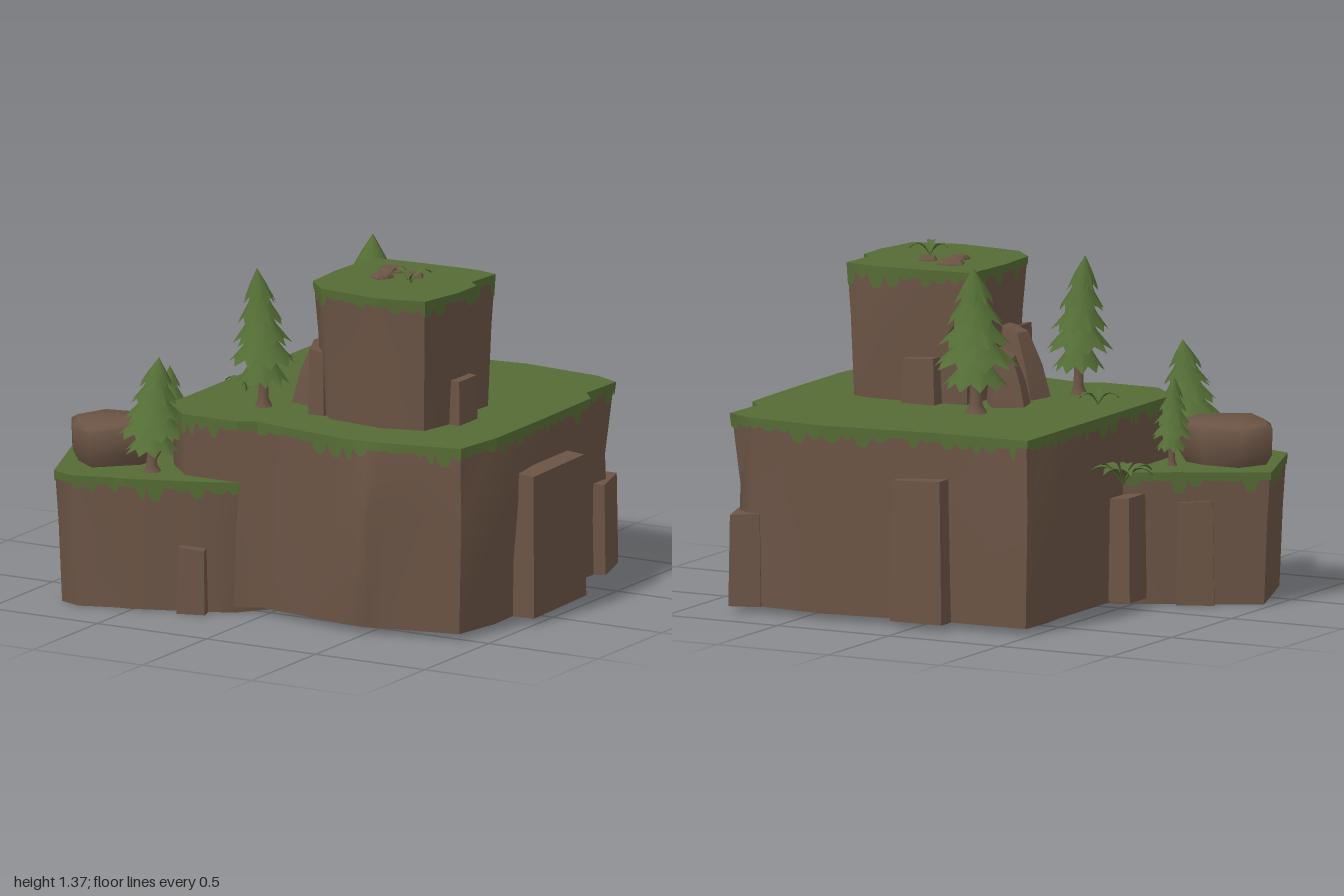
import * as THREE from 'three';
import { toCreasedNormals } from 'three/addons/utils/BufferGeometryUtils.js';

const material = (name, color) => {
  const m = new THREE.MeshStandardMaterial({ color, side: THREE.DoubleSide });
  m.name = name;
  return m;
};
const earth = material('earth brown', 0x6b5445);
const grass = material('grass green', 0x556b34);
const leaf = material('leaf green', 0x546d35);

let seed = 7;
const random = () => (seed = (seed * 16807) % 2147483647) / 2147483647;

function add(parent, name, geometry, mat) {
  const mesh = new THREE.Mesh(geometry, mat);
  mesh.name = name;
  parent.add(mesh);
  return mesh;
}

// Skin closed rings of [x, y, z], listed from bottom to top; optionally cap the last
function loft(rings, cap = false, crease = 0.5) {
  const n = rings[0].length, index = [], pos = rings.flat(2);
  for (let r = 0; r < rings.length - 1; r++)
    for (let i = 0; i < n; i++) {
      const a = r * n + i, b = r * n + (i + 1) % n;
      index.push(a, a + n, b, b, a + n, b + n);
    }
  if (cap) {
    const top = rings.at(-1), o = (rings.length - 1) * n;
    for (let k = 0; k < 3; k++) pos.push(top.reduce((s, p) => s + p[k], 0) / n);
    for (let i = 0; i < n; i++) index.push(rings.length * n, o + (i + 1) % n, o + i);
  }
  const g = new THREE.BufferGeometry();
  g.setAttribute('position', new THREE.Float32BufferAttribute(pos, 3));
  g.setIndex(index);
  return toCreasedNormals(g, crease);
}

// Hollow cliff with a grass top; outline entries are [x, z, bulge at mid height]
function cliff(parent, name, outline, y0, y1, foot) {
  const group = new THREE.Group();
  group.name = name;
  parent.add(group);
  const n = outline.length;
  const cx = outline.reduce((s, p) => s + p[0], 0) / n;
  const cz = outline.reduce((s, p) => s + p[1], 0) / n;
  const ring = (y, scale, bulge) => outline.map(([x, z, b = 0]) => {
    const dx = x - cx, dz = z - cz, k = scale + bulge * b / Math.hypot(dx, dz);
    return [cx + dx * k, y, cz + dz * k];
  });
  const yMid = y0 + (y1 - y0) * 0.62;
  const top = ring(y1, 1, 0), mid = ring(yMid, (1 + foot) / 2, 1);
  add(group, 'earthWall', loft([ring(y0, foot, 0.2), mid, top], false, 0.95), earth);

  // Grass lip with uneven drips that follow the wall
  const upper = [], lower = [], out = 1.01;
  let drip = 0, width = 0.05, at = 0;
  for (let i = 0; i < n; i++) {
    const a = top[i], b = top[(i + 1) % n], c = mid[i], d = mid[(i + 1) % n];
    const length = Math.hypot(b[0] - a[0], b[2] - a[2]), steps = Math.ceil(length / 0.012);
    for (let s = 0; s < steps; s++) {
      const f = s / steps, mix = (p, q, k) => p[k] + (q[k] - p[k]) * f;
      at += length / steps;
      if (at > width) { at = 0; width = 0.03 + 0.05 * random(); drip = 0.06 * random() ** 1.3; }
      const depth = 0.028 + drip * Math.sqrt(Math.max(0, Math.sin(Math.PI * at / width)));
      const t = depth / (y1 - yMid);
      const ux = mix(a, b, 0), uz = mix(a, b, 2);
      const lx = ux + (mix(c, d, 0) - ux) * t, lz = uz + (mix(c, d, 2) - uz) * t;
      upper.push([cx + (ux - cx) * out, y1 + 0.003, cz + (uz - cz) * out]);
      lower.push([cx + (lx - cx) * out, y1 - depth, cz + (lz - cz) * out]);
    }
  }
  add(group, 'grassTop', loft([lower, upper], true), grass);
}

// Rock slab leaning on a wall, slightly narrower at the top
function slab(parent, x, z, w, d, y0, y1, turn = 0) {
  const g = new THREE.BoxGeometry(w, y1 - y0, d), p = g.attributes.position;
  for (let i = 0; i < p.count; i++)
    if (p.getY(i) > 0) p.setXYZ(i, p.getX(i) * 0.92, p.getY(i) - 0.01 * (p.getX(i) > 0), p.getZ(i) * 0.96);
  g.computeVertexNormals();
  const m = add(parent, 'rockSlab', g, earth);
  m.position.set(x, (y0 + y1) / 2, z);
  m.rotation.y = turn;
}

// Faceted rock from a base circle to a smaller, shifted top
function rock(parent, name, x, z, y, r, h, topScale, lean = 0, sides = 6, tilt = 0) {
  const ring = (yy, s, shift) => Array.from({ length: sides }, (_, i) => {
    const a = i / sides * Math.PI * 2 + x * 9, k = r * s * (0.92 + 0.14 * Math.sin(i * 2.3 + z * 20));
    return [x + Math.cos(a) * k + shift, yy + tilt * Math.cos(a), z + Math.sin(a) * k];
  });
  add(parent, name, loft([ring(y, 1, 0), ring(y + h * 0.55, (1 + topScale) / 2 + 0.06, lean * 0.5),
    ring(y + h, topScale, lean)], true, 0.3), earth);
}

// Conifer made of overlapping jagged skirts; the tip leans by [leanX, leanZ]
function tree(parent, x, z, y, height, radius, [leanX, leanZ], branches = false) {
  const group = new THREE.Group();
  group.name = 'pineTree';
  group.position.set(x, y, z);
  parent.add(group);
  const trunk = [[0.28, 0], [0.16, 0.06], [0.13, 0.22], [0.1, 0.6]]
    .map(([r, t]) => new THREE.Vector2(r * radius, t * height));
  add(group, 'trunk', new THREE.LatheGeometry(trunk, 8), earth);
  const spread = [0.78, 1, 0.85, 0.68, 0.48], n = 20;
  spread.forEach((s, k) => {
    const base = height * (0.2 + 0.145 * k), rise = height * (k === 4 ? 0.22 : 0.23);
    const ring = (yy, r, jag) => Array.from({ length: n }, (_, i) => {
      const a = i / n * Math.PI * 2 + k * 0.5, tip = i % 2 ? 1 : -1, t = yy / height;
      const rr = r * (1 + jag * (0.12 * tip + 0.06 * Math.sin(i * 2.1 + k)));
      return [Math.cos(a) * rr + leanX * t * t, yy - jag * tip * height * 0.025,
        Math.sin(a) * rr + leanZ * t * t];
    });
    const R = s * radius * 0.9;
    add(group, 'foliage', loft([ring(base, R, 1), ring(base + rise * 0.45, R * 0.6, 0.25),
      ring(base + rise, k === 4 ? 0.001 : R * 0.25, 0)], false, 0.7), leaf);
  });
  if (branches) { // bare patch on the front and left
    const bare = add(group, 'bareBranches', new THREE.CylinderGeometry(
      radius * 0.5, radius * 0.68, height * 0.08, 12, 1, true, -0.4, 2.4), earth);
    bare.position.set(leanX * 0.3, height * 0.56, leanZ * 0.3);
  }
}

// Low plant with arching leaves
function fern(parent, x, y, z, count, length, turn) {
  const group = new THREE.Group();
  group.name = 'fern';
  group.position.set(x, y, z);
  parent.add(group);
  for (let i = 0; i < count; i++) {
    const g = new THREE.PlaneGeometry(1, 1, 2, 6), p = g.attributes.position;
    for (let j = 0; j < p.count; j++) {
      const t = p.getY(j) + 0.5, side = p.getX(j);
      const w = length * 0.38 * Math.sin(Math.PI * t ** 1.2) ** 1.3;
      p.setXYZ(j, side * w, length * (1.8 * t - 1.4 * t * t + 0.12 * Math.abs(side)), t * length);
    }
    g.computeVertexNormals();
    add(group, 'leaf', g, leaf).rotation.y = turn + i / count * Math.PI * 2;
  }
}

export function createModel() {
  const model = new THREE.Group();
  model.name = 'cliffTerrain';

  // Three terraces
  cliff(model, 'mainTerrace', [[-0.48, -0.74, 0.02], [-0.08, -0.75], [0.4, -0.81], [0.74, -0.78],
    [0.85, -0.73, -0.03], [0.84, -0.52], [0.9, -0.45], [0.91, 0], [0.91, 0.3, 0.05], [0.88, 0.52, 0.02],
    [0.57, 0.59, 0.02], [0.5, 0.6, 0.07], [0.42, 0.61, 0.02], [0.2, 0.58], [-0.03, 0.54, 0.01],
    [-0.1, 0.58], [-0.35, 0.58], [-0.48, 0.45], [-0.48, 0.07], [-0.48, -0.46],
    [-0.48, -0.56, 0.065]], 0.025, 0.78, 0.985);
  cliff(model, 'lowTerrace', [[-0.99, 0.34], [-0.9, 0.29], [-0.68, 0.18], [-0.48, 0.07], [-0.3, 0.02],
    [0, 0.03], [0.06, 0.3], [0, 0.45], [-0.1, 0.575], [-0.2, 0.625], [-0.52, 0.745], [-0.57, 0.75],
    [-0.73, 0.805], [-0.83, 0.77]], 0, 0.53, 0.945);
  cliff(model, 'upperTerrace', [[0.09, -0.15], [0.3, -0.17], [0.47, -0.18, 0.02], [0.55, -0.18, 0.02],
    [0.64, -0.16], [0.625, 0], [0.67, 0.04], [0.67, 0.18], [0.63, 0.37], [0.44, 0.42], [0.17, 0.39],
    [0.08, 0.3], [0.07, 0.1]], 0.77, 1.315, 0.91);

  // Slabs: x, z, width, depth, bottom, top, turn
  [[-0.025, -0.76, 0.23, 0.12, 0.025, 0.6], [0.93, -0.07, 0.12, 0.44, 0.025, 0.61, 0.04],
    [0.785, -0.7, 0.13, 0.22, 0.025, 0.4, 0.3], [-0.5, 0.03, 0.13, 0.14, 0.03, 0.45],
    [-0.71, 0.24, 0.15, 0.11, 0, 0.42, 0.45], [-0.275, 0.63, 0.115, 0.12, 0, 0.27, 0.3],
    [0.3, -0.15, 0.15, 0.11, 0.78, 0.97], [0.64, 0.13, 0.1, 0.14, 0.78, 0.97],
    [0.11, 0.27, 0.07, 0.13, 0.78, 1.05]].forEach((s) => slab(model, ...s));

  // Boulder, standing rocks and pebbles
  const edge = [[-0.92, 0.49], [-0.85, 0.35], [-0.68, 0.34], [-0.55, 0.38], [-0.55, 0.52], [-0.73, 0.69], [-0.85, 0.6]];
  const layer = (y, s) => edge.map(([x, z]) => [-0.72 + (x + 0.72) * s, y + 0.04 * (x + 0.72) * s, 0.49 + (z - 0.49) * s]);
  add(model, 'boulder', loft([layer(0.52, 0.8), layer(0.58, 0.98), layer(0.685, 1), layer(0.702, 0.85)], true, 1.3), earth);
  rock(model, 'standingRock', 0.01, 0.14, 0.77, 0.11, 0.29, 0.55, 0.05, 5, 0.02);
  rock(model, 'standingRock', -0.02, -0.03, 0.77, 0.115, 0.22, 0.45, 0.02, 5, 0.02);
  [[0.26, 0, 0.063], [0.385, 0.035, 0.048], [0.285, 0.11, 0.048]].forEach(([x, z, r]) =>
    rock(model, 'pebble', x, z, 1.31, r, 0.024, 0.75));

  // Plants
  tree(model, 0.005, -0.265, 0.78, 0.59, 0.17, [-0.01, -0.04], true);
  tree(model, -0.145, 0.31, 0.78, 0.56, 0.135, [-0.03, 0]);
  tree(model, -0.495, 0.585, 0.53, 0.46, 0.14, [0.015, -0.03]);
  tree(model, -0.57, 0.3, 0.53, 0.36, 0.085, [-0.01, 0]);
  fern(model, -0.62, 0.53, -0.2, 7, 0.13, 0.3);
  fern(model, -0.33, 0.78, 0.13, 3, 0.09, 0.6);
  fern(model, 0.43, 1.315, 0.14, 3, 0.09, 0.4);
  return model;
}
